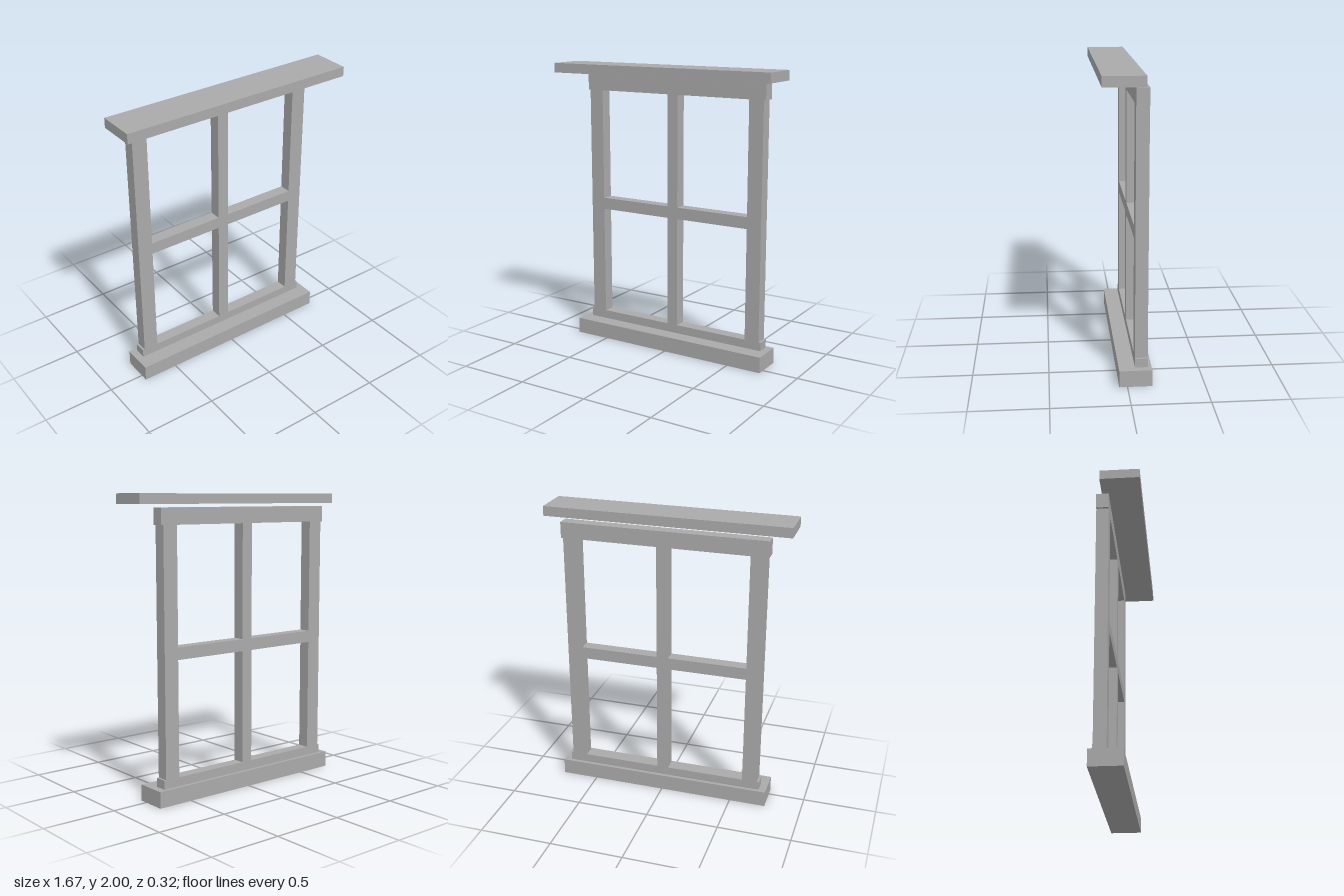
import * as THREE from 'three';

export function createModel() {
  const group = new THREE.Group();
  group.name = 'windowFrame';
  const grey = new THREE.MeshStandardMaterial({ color: 0xaaaaaa });
  grey.name = 'plain grey';

  const add = (name, geometry) => {
    const mesh = new THREE.Mesh(geometry, grey);
    mesh.name = name;
    group.add(mesh);
  };
  // Box given by half width and its y and z ranges
  const board = (name, halfW, y0, y1, z0, z1) =>
    add(name, new THREE.BoxGeometry(halfW * 2, y1 - y0, z1 - z0)
      .translate(0, (y0 + y1) / 2, (z0 + z1) / 2));

  // Sill below and shelf-like cornice floating just above the frame
  board('sill', 0.75, 0, 0.11, -0.16, 0.053);
  board('cornice', 0.834, 1.934, 2, -0.102, 0.162);

  // Sash: posts, wider rails at both ends, and crossing glazing bars
  const railX = 0.70, postX = 0.685, paneX = 0.58, barX = 0.04;
  const bottom = 0.11, paneBottom = 0.17, paneTop = 1.805, top = 1.913;
  const half = [[railX, bottom], [railX, paneBottom], [postX, paneBottom],
    [postX, paneTop], [railX, paneTop], [railX, top]];
  const mirrored = half.map(([x, y]) => [-x, y]).reverse();
  const sash = new THREE.Shape([...half, ...mirrored].map(([x, y]) => new THREE.Vector2(x, y)));

  // Four pane openings
  for (const [x0, x1] of [[-paneX, -barX], [barX, paneX]]) {
    for (const [y0, y1] of [[paneBottom, 0.946], [1.028, paneTop]]) {
      sash.holes.push(new THREE.Path([[x0, y0], [x0, y1], [x1, y1], [x1, y0]]
        .map(([x, y]) => new THREE.Vector2(x, y))));
    }
  }
  add('sash', new THREE.ExtrudeGeometry(sash, { depth: 0.083, bevelEnabled: false })
    .translate(0, 0, -0.136));

  return group;
}
